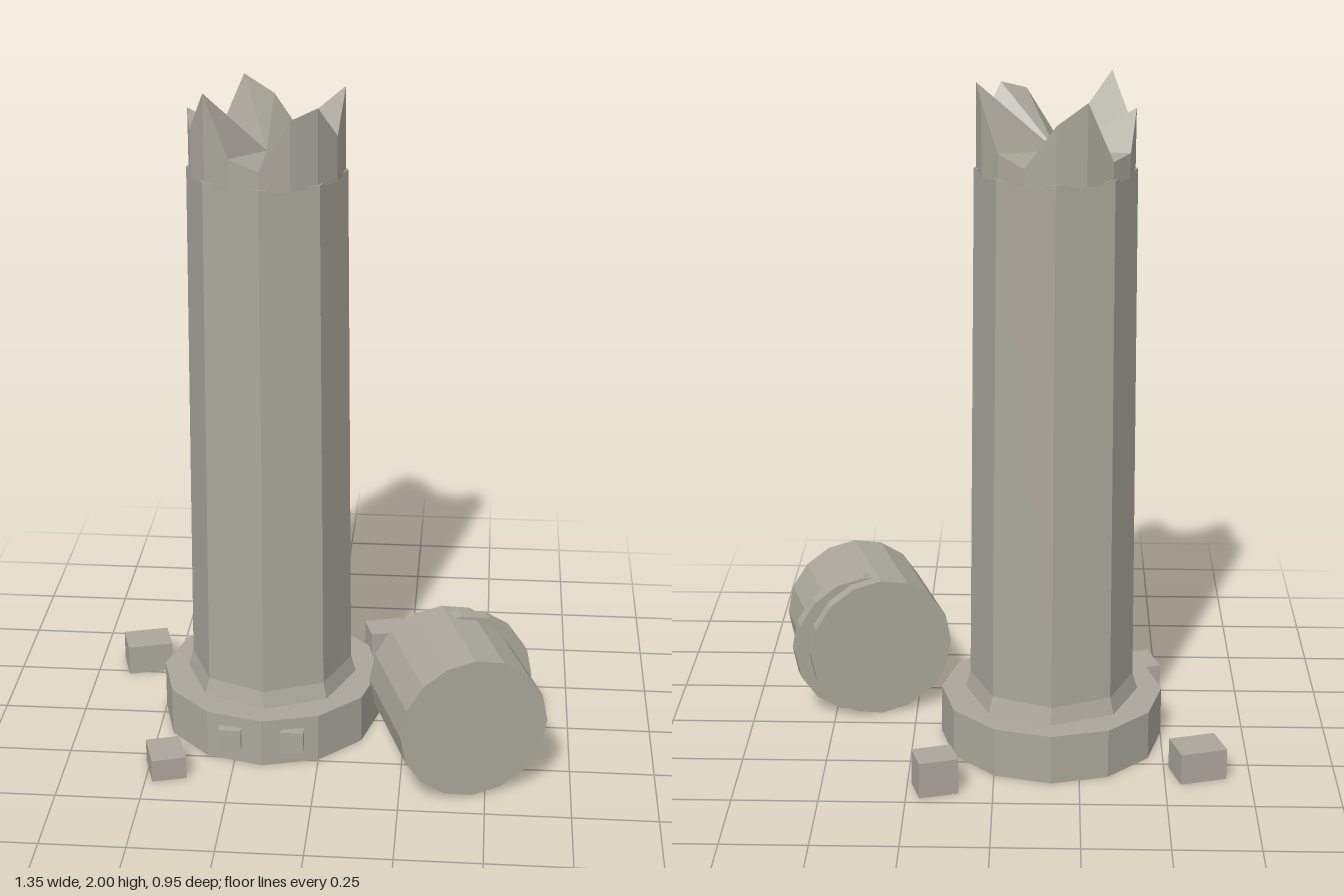
import * as THREE from 'three';

const stone = new THREE.MeshStandardMaterial({ color: 0xaaa69a, flatShading: true });
stone.name = 'weathered stone';

function add(parent, name, geometry, x, y, z, turn = 0) {
  const mesh = new THREE.Mesh(geometry, stone);
  mesh.name = name;
  mesh.position.set(x, y, z);
  mesh.rotation.y = turn;
  parent.add(mesh);
  return mesh;
}

// Jagged wall rising from a ring, with a fan of facets down to the middle
function brokenTop(radius, bottom, middle, heights) {
  const pos = [];
  const n = heights.length;
  const point = (i, y) => {
    const a = (i / n) * Math.PI * 2;
    return [radius * Math.sin(a), y, radius * Math.cos(a)];
  };
  for (let i = 0; i < n; i++) {
    const a = point(i, bottom), b = point(i + 1, bottom);
    const c = point(i + 1, heights[(i + 1) % n]), d = point(i, heights[i]);
    pos.push(...a, ...b, ...c, ...a, ...c, ...d);
    pos.push(...d, ...c, 0, middle, 0);
  }
  const g = new THREE.BufferGeometry();
  g.setAttribute('position', new THREE.Float32BufferAttribute(pos, 3));
  g.computeVertexNormals();
  return g;
}

export function createModel() {
  const model = new THREE.Group();
  model.name = 'brokenColumn';

  // Standing column
  const column = new THREE.Group();
  column.name = 'column';
  column.position.set(-0.167, 0, -0.045);
  model.add(column);
  add(column, 'base', new THREE.CylinderGeometry(0.333, 0.333, 0.15, 12), 0, 0.075, 0);
  const profile = [[0.26, 0.15], [0.245, 0.2], [0.23, 1.75], [0, 1.75]];
  add(column, 'shaft', new THREE.LatheGeometry(profile.map(p => new THREE.Vector2(...p)), 8), 0, 0, 0);
  const rim = [1.8, 1.94, 1.965, 1.87, 1.99, 1.95, 1.82, 1.79,
    1.91, 1.97, 1.8, 1.81, 1.92, 1.88, 2.0, 1.83];
  add(column, 'brokenTop', brokenTop(0.223, 1.74, 1.8, rim), 0, 0, 0);

  // Square studs on the front of the base
  for (const x of [-0.262, -0.075]) {
    add(model, 'stud', new THREE.BoxGeometry(0.068, 0.07, 0.03), x, 0.08, 0.274);
  }

  // Fallen drum lying on its side, with a shifted collar near its back end
  const drum = new THREE.Group();
  drum.name = 'fallenDrum';
  drum.position.set(0.41, 0.222, 0.235);
  drum.rotation.y = 0.313;
  model.add(drum);
  const body = new THREE.CylinderGeometry(0.221, 0.221, 0.352, 16).rotateX(Math.PI / 2);
  add(drum, 'drumBody', body, 0, 0, 0);
  const collar = new THREE.CylinderGeometry(0.222, 0.222, 0.045, 16).rotateX(Math.PI / 2);
  add(drum, 'drumCollar', collar, 0.04, 0, -0.115);

  // Scattered rubble: x, z, width, height, depth
  for (const [x, z, w, h, d] of [
    [-0.597, -0.303, 0.14, 0.095, 0.11],
    [0.168, -0.415, 0.117, 0.11, 0.095],
    [-0.447, 0.33, 0.102, 0.07, 0.125],
  ]) add(model, 'rubble', new THREE.BoxGeometry(w, h, d), x, h / 2, z, 0.29);

  return model;
}
